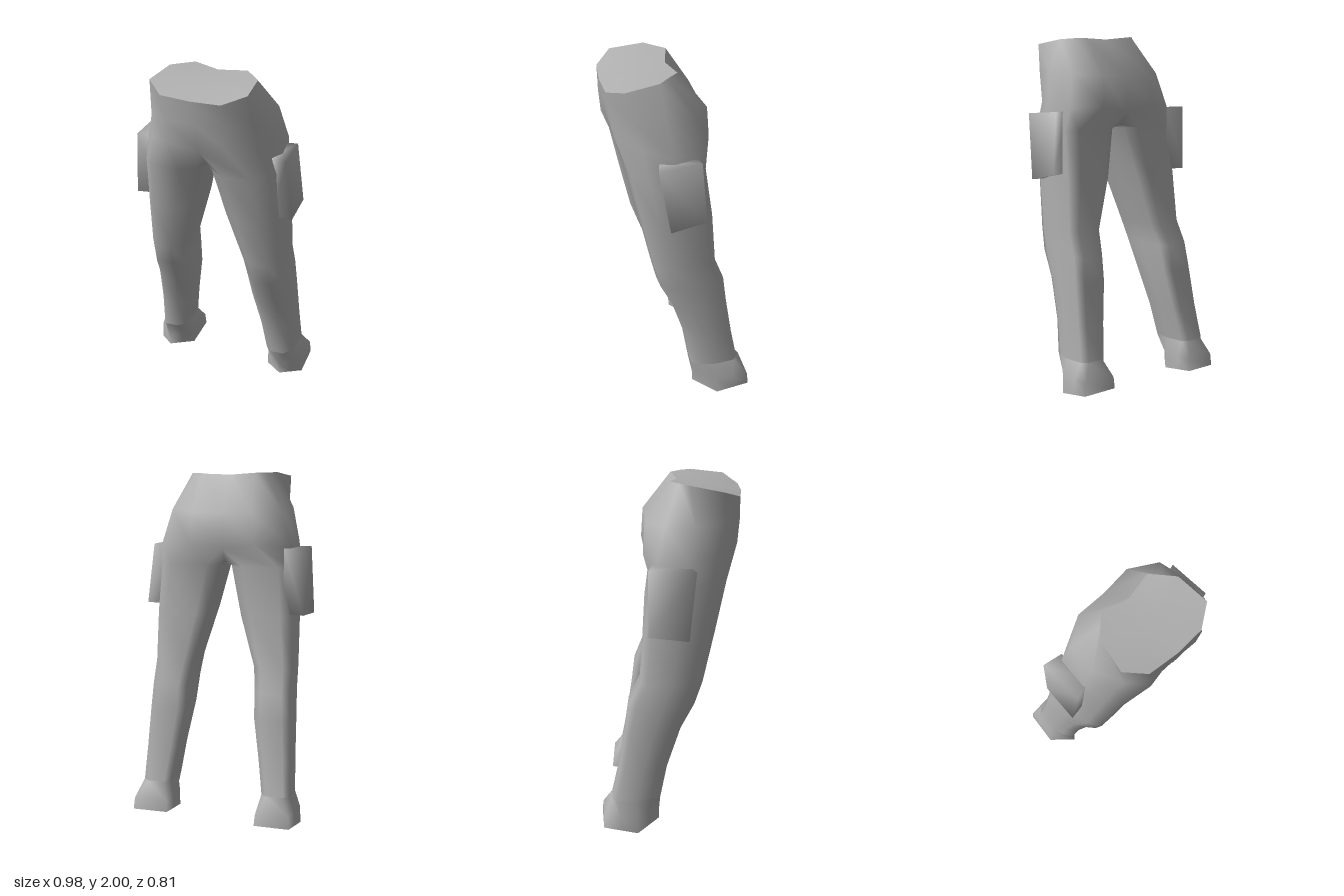
import * as THREE from 'three';
import { mergeVertices } from 'three/addons/utils/BufferGeometryUtils.js';

const cloth = new THREE.MeshStandardMaterial({ color: 0xb0b0b0 });
cloth.name = 'grey cloth';

// Smooth mesh from a list of triangles, corners welded
function makeMesh(name, tris) {
  let g = new THREE.BufferGeometry();
  g.setAttribute('position', new THREE.Float32BufferAttribute(tris.flat(2), 3));
  g = mergeVertices(g, 1e-4);
  g.computeVertexNormals();
  const mesh = new THREE.Mesh(g, cloth);
  mesh.name = name;
  return mesh;
}

// Skin between stacked rings, listed top to bottom, counterclockwise from above
function loft(rings) {
  const tris = [];
  for (let r = 0; r + 1 < rings.length; r++) {
    const top = rings[r], low = rings[r + 1], n = top.length;
    for (let i = 0; i < n; i++) {
      const j = (i + 1) % n;
      tris.push([top[i], low[i], low[j]], [top[i], low[j], top[j]]);
    }
  }
  return tris;
}

function fan(ring, centre, down) {
  return ring.map((p, i) => {
    const q = ring[(i + 1) % ring.length];
    return down ? [centre, q, p] : [centre, p, q];
  });
}

const blend = (p, q, t) => p.map((v, i) => v + (q[i] - v) * t);

// Mirror a ring to the right side, keeping its winding
const mirror = ring => ring.map(([x, y, z]) => [-x, y, z]).reverse();

// Full ring from its left half (front centre to back centre)
const fullRing = half => [...half, ...half.slice(1, -1).map(([x, y, z]) => [-x, y, z]).reverse()];

// Leg section, ten points: boxy at the back, soft at the front outer corner
const corner = [0.7, 0.7, 1.1, 0.7, 0.45, 0.5, 0.5, 0.45, 0.7, 0.7];
function section(y, xIn, xOut, zFront, zBack) {
  const soft = (v, e) => Math.sign(v) * Math.pow(Math.abs(v), e);
  return corner.map((e, i) => {
    const a = (i - 0.5) * Math.PI / 5;
    return [
      (xIn + xOut) / 2 + soft(Math.sin(a), e) * (xOut - xIn) / 2,
      y,
      (zFront + zBack) / 2 + soft(Math.cos(a), e) / soft(Math.cos(Math.PI / 10), e) * (zFront - zBack) / 2,
    ];
  });
}

// Pocket from four outer corners (top front, top back, bottom back, bottom front)
function pocket(name, outer, innerX) {
  const midZ = outer.reduce((s, p) => s + p[2], 0) / 4;
  const inner = outer.map(([, y, z]) => [innerX, y, z + (midZ - z) * 0.2]);
  const tris = loft([inner, outer]).concat([[outer[0], outer[3], outer[2]], [outer[0], outer[2], outer[1]]]);
  // wind every face away from the pocket centre
  const c = new THREE.Vector3();
  [...inner, ...outer].forEach(p => c.add(new THREE.Vector3(...p)));
  c.divideScalar(8);
  return makeMesh(name, tris.map(t => {
    const [a, b, d] = t.map(p => new THREE.Vector3(...p));
    const n = b.clone().sub(a).cross(d.clone().sub(a));
    return n.dot(a.clone().add(b).add(d).divideScalar(3).sub(c)) < 0 ? [t[0], t[2], t[1]] : t;
  }));
}

export function createModel() {
  const model = new THREE.Group();
  model.name = 'trousers';

  // Waist edge, slanted down to the front
  const waist = [
    [-0.02, 1.92, 0.405], [0.15, 1.92, 0.405], [0.27, 1.96, 0.33], [0.26, 1.985, 0.14],
    [0.21, 1.99, 0.08], [0.16, 1.99, 0.02], [0, 1.985, 0.045], [-0.15, 2, 0],
    [-0.205, 2, 0.05], [-0.26, 2, 0.1], [-0.3, 1.97, 0.285], [-0.2, 1.925, 0.38],
  ];
  const upperHip = fullRing([
    [0, 1.79, 0.39], [0.17, 1.79, 0.383], [0.29, 1.8, 0.295], [0.35, 1.8, 0.13],
    [0.325, 1.79, -0.04], [0.18, 1.78, -0.14], [0, 1.78, -0.13],
  ]);
  const hipHalf = [
    [0, 1.62, 0.34], [0.17, 1.66, 0.372], [0.31, 1.63, 0.25], [0.395, 1.61, 0.1],
    [0.375, 1.6, -0.08], [0.19, 1.61, -0.15], [0, 1.58, -0.138],
  ];
  const crotch = [[0, 1.5, -0.08], [0, 1.49, 0.08], [0, 1.5, 0.22]];

  // Leg sections: height, inner x, outer x, front z, back z, shift of the right leg
  const legRows = [
    [1.48, 0.02, 0.405, 0.318, -0.095, -0.015],
    [1.2, 0.09, 0.415, 0.262, -0.13, -0.02],
    [0.91, 0.18, 0.42, 0.205, -0.145, -0.03],
    [0.78, 0.2, 0.425, 0.175, -0.195, -0.045],
    [0.63, 0.205, 0.435, 0.1, -0.212, -0.05],
    [0.4, 0.245, 0.445, 0.027, -0.245, -0.055],
    [0.21, 0.275, 0.455, -0.002, -0.28, -0.065],
  ];
  const body = loft([waist, upperHip, fullRing(hipHalf)]);

  for (const side of ['left', 'right']) {
    const right = side === 'right';
    const place = ring => (right ? mirror(ring) : ring);
    const legRings = legRows.map(([y, a, b, f, k, s]) => {
      const d = right ? s : 0;
      return section(y, a, b, f + d, k + d);
    });
    body.push(...loft([[...hipHalf, ...crotch], ...legRings].map(place)));

    // Flared foot with a five-cornered sole
    const d = right ? -0.06 : 0;
    const front = [0.38, 0.055, -0.015 + d], outer = [0.488, 0.018, -0.14 + d];
    const backOut = [right ? 0.46 : 0.49, 0.045, -0.335 + d], backIn = [right ? 0.26 : 0.28, 0.05, -0.345 + d];
    const inner = [0.265, 0.025, -0.14 + d];
    const frontIn = blend(front, inner, 0.5);
    const sole = [
      frontIn, front, blend(front, outer, 0.5), outer, blend(outer, backOut, 0.5),
      backOut, backIn, blend(backIn, inner, 0.5), inner, blend(inner, frontIn, 0.5),
    ];
    const cuff = legRings[legRings.length - 1];
    const ankle = cuff.map((p, i) => {
      const [x, , z] = blend(p, sole[i], 0.9);
      return [x, 0.115, z];
    });
    model.add(makeMesh(side + 'Foot', loft([cuff, ankle, sole].map(place))));
    const centre = [right ? -0.37 : 0.38, right ? 0.012 : 0, -0.19 + d];
    model.add(makeMesh(side + 'Sole', fan(place(sole), centre, true)));
  }
  model.add(makeMesh('hipsAndLegs', body));
  model.add(makeMesh('waistCap', fan(waist, [-0.01, 1.965, 0.22], false)));

  // Thigh pockets
  model.add(pocket('leftPocket', [
    [0.445, 1.57, 0.2], [0.44, 1.585, -0.04], [0.478, 1.24, -0.06], [0.472, 1.2, 0.14],
  ], 0.35));
  model.add(pocket('rightPocket', [
    [-0.46, 1.58, 0.13], [-0.462, 1.59, -0.13], [-0.47, 1.22, -0.13], [-0.49, 1.2, 0.09],
  ], -0.35));
  return model;
}
